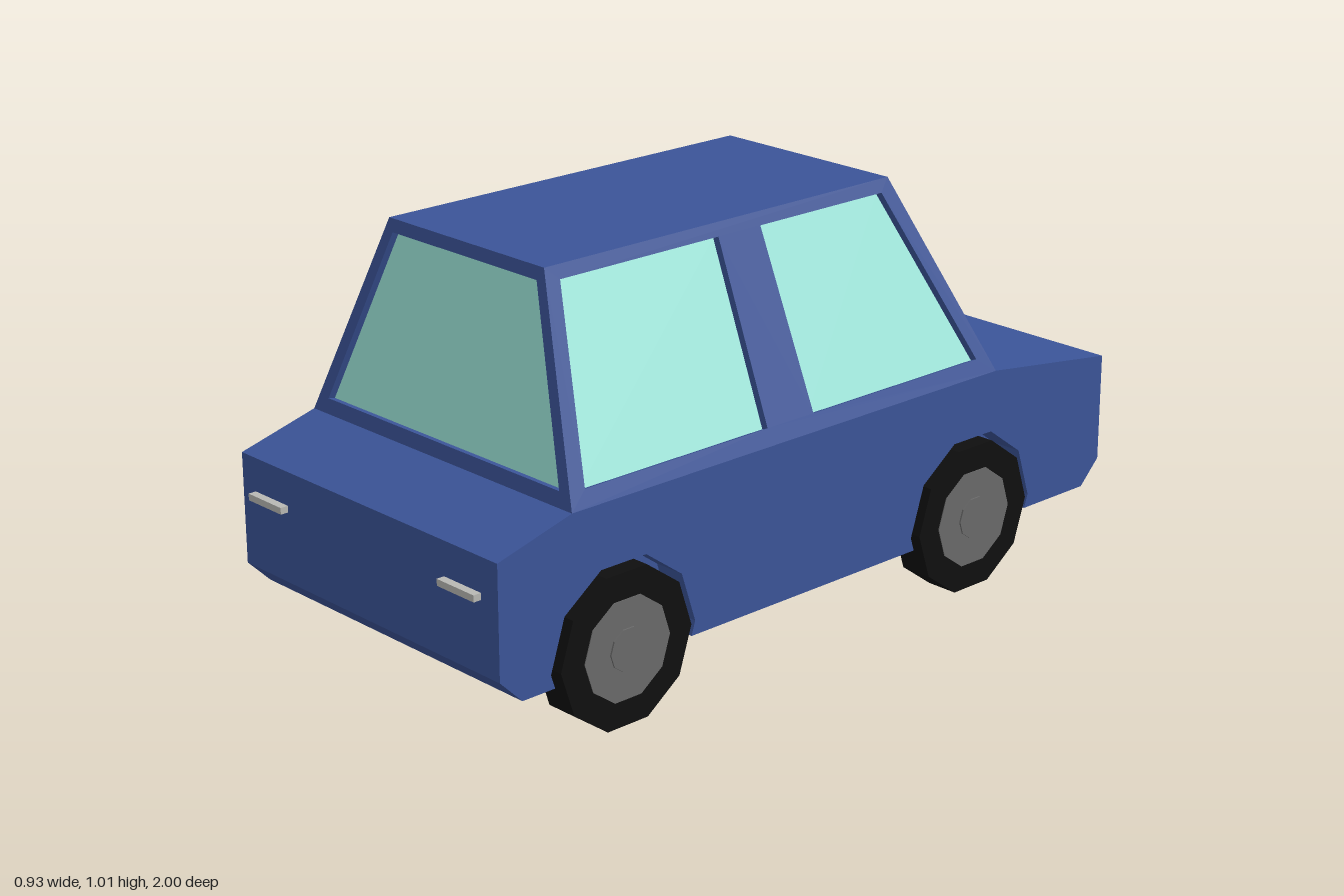
import * as THREE from 'three';

const mat = (color) => new THREE.MeshStandardMaterial({ color, flatShading: true });
const blue = mat(0x3b5498), glass = mat(0x9fe8dc), black = mat(0x0f0f0f);
const grey = mat(0x6a6a6a), pale = mat(0xb8b8b4);
glass.side = THREE.DoubleSide;

const BELT = 0.535, ROOF = 1.012, HALF = 0.45, AXLE_Y = 0.184;
const AXLES = [0.63, -0.49];

export function createModel() {
  const car = new THREE.Group();
  car.name = 'car';
  car.position.x = -0.002;

  const add = (parent, name, geometry, material, x = 0, y = 0, z = 0) => {
    const mesh = new THREE.Mesh(geometry, material);
    mesh.name = name;
    mesh.position.set(x, y, z);
    parent.add(mesh);
    return mesh;
  };
  const polygon = (points) => new THREE.Shape(points.map(([x, y]) => new THREE.Vector2(x, y)));

  // Side profile (z, y) of the lower body, with optional wheel arches and grille slot
  const bodyProfile = ({ arches, slot }) => {
    const points = [[0.98, 0.21], [0.98, 0.48], [0.775, BELT], [-0.565, BELT], [-0.965, 0.48]];
    if (slot) points.push([-0.965, 0.395], [-0.94, 0.395], [-0.94, 0.33], [-0.965, 0.33]);
    points.push([-0.965, 0.21], [-0.905, 0.15]);
    if (arches) {
      for (const z of [...AXLES].reverse()) {
        points.push([z - 0.199, 0.15]);
        for (let i = 5; i >= 0; i--) {
          const a = (i * Math.PI) / 5;
          points.push([z + 0.21 * Math.cos(a), AXLE_Y + 0.21 * Math.sin(a)]);
        }
        points.push([z + 0.199, 0.15]);
      }
    }
    points.push([0.92, 0.15]);
    return polygon(points);
  };

  // Lower body in slices across the width
  const slices = [
    ['bodySideRight', -HALF, -0.37, { arches: true }],
    ['bodyInnerRight', -0.37, -0.225, {}],
    ['bodyCentre', -0.225, 0.225, { slot: true }],
    ['bodyInnerLeft', 0.225, 0.37, {}],
    ['bodySideLeft', 0.37, HALF, { arches: true }],
  ];
  for (const [name, x0, x1, options] of slices) {
    const geometry = new THREE.ExtrudeGeometry(bodyProfile(options), { depth: x1 - x0, bevelEnabled: false });
    add(car, name, geometry, blue, x1).rotation.y = -Math.PI / 2;
  }

  // Leaning cabin wall: corners are (across, height), holes become recessed windows
  const wall = (name, outline, windows, angle, inset, distance) => {
    const rise = ROOF - BELT;
    const stretch = Math.hypot(rise, inset) / rise;
    const flat = (points) => points.map(([a, y]) => [a, (y - BELT) * stretch]);
    const panel = new THREE.Group();
    panel.name = name;
    const shape = polygon(flat(outline));
    for (const w of windows) {
      const pane = polygon(flat(w));
      shape.holes.push(pane);
      add(panel, 'window', new THREE.ShapeGeometry(pane), glass, 0, 0, -0.018);
    }
    add(panel, 'windowFrame', new THREE.ExtrudeGeometry(shape, { depth: 0.022, bevelEnabled: false }), blue, 0, 0, -0.022);
    panel.rotation.set(-Math.atan2(inset, rise), angle, 0, 'YXZ');
    panel.position.set(Math.sin(angle) * distance, BELT, Math.cos(angle) * distance);
    car.add(panel);
  };
  const endOutline = [[-HALF, BELT], [HALF, BELT], [0.264, ROOF], [-0.264, ROOF]];
  const endWindow = [[-0.402, 0.57], [0.402, 0.57], [0.246, 0.982], [-0.246, 0.982]];
  wall('frontWall', endOutline, [endWindow], 0, 0.093, 0.775);
  wall('backWall', endOutline, [endWindow], Math.PI, 0.193, 0.565);

  // Side walls, given in z and flipped for the left side
  const sideOutline = [[0.775, BELT], [-0.565, BELT], [-0.372, ROOF], [0.682, ROOF]];
  const sideWindows = [
    [[0.725, 0.573], [0.185, 0.573], [0.185, 0.982], [0.648, 0.982]],
    [[0.04, 0.573], [-0.51, 0.573], [-0.34, 0.982], [0.055, 0.982]],
  ];
  for (const s of [1, -1]) {
    const flip = (points) => points.map(([z, y]) => [-s * z, y]);
    wall(s > 0 ? 'leftWall' : 'rightWall', flip(sideOutline), sideWindows.map(flip), s * Math.PI / 2, 0.186, HALF);
  }
  add(car, 'roof', new THREE.BoxGeometry(0.528, 0.02, 1.054), blue, 0, ROOF - 0.01, 0.155);

  // Ten-sided wheels
  const disc = (radius, width) => new THREE.CylinderGeometry(radius, radius, width, 10).rotateZ(Math.PI / 2);
  for (const s of [1, -1]) {
    for (const z of AXLES) {
      const wheel = new THREE.Group();
      wheel.name = 'wheel';
      wheel.position.set(s * 0.418, AXLE_Y, z);
      add(wheel, 'tire', disc(0.19, 0.082), black);
      add(wheel, 'hub', disc(0.124, 0.02), grey, s * 0.033);
      add(wheel, 'hubCap', disc(0.052, 0.02), grey, s * 0.037);
      car.add(wheel);
    }
  }

  // Lamps at both ends
  const round = (radius, depth) => new THREE.CylinderGeometry(radius, radius, depth, 10).rotateX(Math.PI / 2);
  for (const s of [1, -1]) {
    const x = s * 0.338 - 0.004;
    add(car, 'frontLightBar', new THREE.BoxGeometry(0.122, 0.016, 0.04), pale, x, 0.39, 0.98);
    add(car, 'roundLampHousing', round(0.053, 0.05), blue, x, 0.355, -0.973);
    add(car, 'roundLampLens', round(0.046, 0.01), pale, x, 0.355, -0.995);
    add(car, 'lowerLightBar', new THREE.BoxGeometry(0.12, 0.016, 0.02), pale, x, 0.18, -0.935).rotation.x = Math.PI / 4;
  }
  return car;
}
